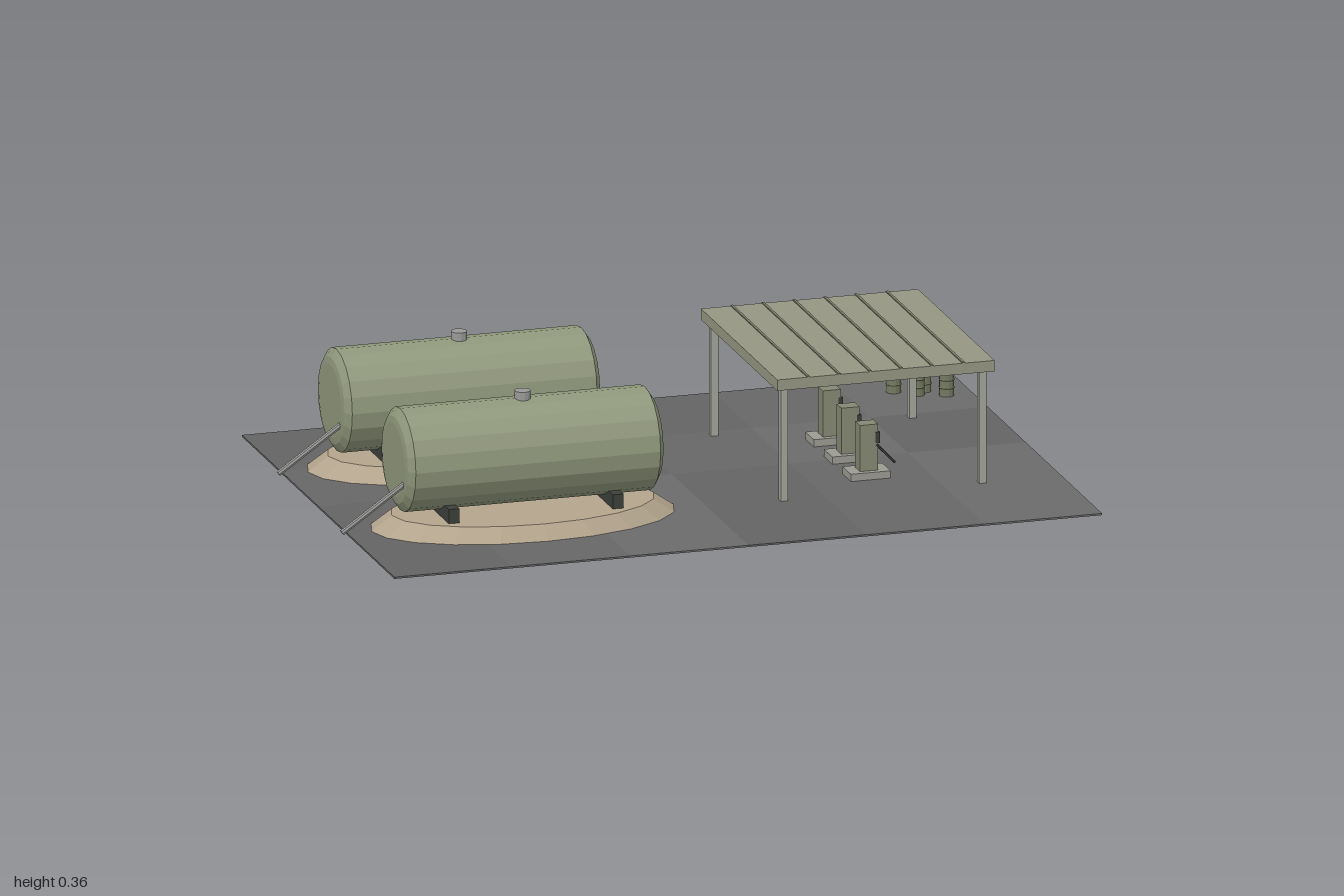
import * as THREE from 'three';

const mat = (color, flatShading = true) => new THREE.MeshStandardMaterial({ color, flatShading });
const M = {
  tile: [mat(0x646464), mat(0x6b6b6b), mat(0x676767)],
  tank: mat(0x8f977b), sand: mat(0xb3a48c), dark: mat(0x3c3f3a), steel: mat(0x999a97),
  roof: mat(0x959682), rib: mat(0x7b7d6a), post: mat(0xa3a59a), pump: mat(0x858872),
  base: mat(0x9b9b92), screen: mat(0x4d5a66), barrel: mat(0x747a62),
};

function add(parent, name, geometry, material, x = 0, y = 0, z = 0) {
  const mesh = new THREE.Mesh(geometry, material);
  mesh.name = name;
  mesh.position.set(x, y, z);
  parent.add(mesh);
  return mesh;
}

// Box given by its size and the height of its underside
function box(parent, name, material, w, h, d, x, y0, z) {
  return add(parent, name, new THREE.BoxGeometry(w, h, d), material, x, y0 + h / 2, z);
}

// Straight round bar between two points
function rod(parent, name, material, a, b, r, sides = 8) {
  const p = new THREE.Vector3(...a), q = new THREE.Vector3(...b);
  const dir = q.clone().sub(p);
  const mesh = add(parent, name, new THREE.CylinderGeometry(r, r, dir.length(), sides), material);
  mesh.position.copy(p).add(q).multiplyScalar(0.5);
  mesh.quaternion.setFromUnitVectors(new THREE.Vector3(0, 1, 0), dir.normalize());
  return mesh;
}

function lathe(points, sides) {
  return new THREE.LatheGeometry(points.map(([r, y]) => new THREE.Vector2(r, y)), sides);
}

function group(parent, name, x = 0, z = 0) {
  const g = new THREE.Group();
  g.name = name;
  g.position.set(x, 0, z);
  parent.add(g);
  return g;
}

// Storage tank lying on its oval earth mound
function buildTank(parent, z) {
  const g = group(parent, 'storageTank', -0.472, z);
  const mound = add(g, 'mound', new THREE.CylinderGeometry(0.86, 1, 0.041, 20), M.sand, 0, 0.0235, 0);
  mound.scale.set(0.42, 1, 0.225);
  mound.geometry.rotateY(Math.PI / 2);

  const shell = lathe([[0, -0.356], [0.1, -0.356], [0.118, -0.353], [0.14, -0.338],
    [0.14, 0.338], [0.118, 0.353], [0.1, 0.356], [0, 0.356]], 20);
  shell.rotateZ(-Math.PI / 2);
  add(g, 'tankShell', shell, M.tank, 0, 0.197, 0);

  add(g, 'hatch', new THREE.CylinderGeometry(0.022, 0.022, 0.028, 12), M.steel, 0, 0.343, 0);
  for (const x of [-0.225, 0.228]) box(g, 'saddle', M.dark, 0.03, 0.045, 0.235, x, 0.038, 0);
  rod(g, 'fillPipe', M.steel, [-0.32, 0.175, 0.081], [-0.524, 0.034, 0.081], 0.008);
}

// Fuel pump on its plinth, facing +x
function buildPump(parent, z) {
  const g = group(parent, 'fuelPump', 0.508, z);
  box(g, 'plinth', M.base, 0.11, 0.02, 0.075, 0, 0.005, 0);
  box(g, 'pumpBody', M.pump, 0.05, 0.127, 0.042, 0, 0.025, 0);
  box(g, 'pumpScreen', M.screen, 0.004, 0.034, 0.026, 0.025, 0.095, 0);
  box(g, 'nozzleHolder', M.dark, 0.012, 0.03, 0.01, 0.024, 0.1, 0.018);
  rod(g, 'hose', M.dark, [0.022, 0.095, 0.019], [0.067, 0.047, 0.037], 0.0035, 6);
}

// Flat ribbed roof on four posts
function buildCanopy(parent) {
  const g = group(parent, 'canopy', 0.507, 0);
  box(g, 'roof', M.roof, 0.6, 0.03, 0.68, 0, 0.317, 0);
  for (let i = 1; i < 7; i++) {
    box(g, 'roofRib', M.rib, 0.007, 0.004, 0.68, -0.3 + i * 0.6 / 7, 0.346, 0);
  }
  for (const x of [-0.274, 0.274]) for (const z of [-0.31, 0.31]) {
    box(g, 'post', M.post, 0.02, 0.313, 0.02, x, 0.005, z);
  }
}

export function createModel() {
  const model = new THREE.Group();
  model.name = 'fuelDepot';

  // Paved ground, six by four slabs
  const ground = group(model, 'ground');
  const w = 1.955 / 6, d = 1.355 / 4;
  for (let i = 0; i < 6; i++) for (let j = 0; j < 4; j++) {
    const shade = M.tile[(i * 2 + j * (j + 1)) % 3];
    box(ground, 'slab', shade, w, 0.005, d, -0.955 + (i + 0.5) * w, 0, -0.68 + (j + 0.5) * d);
  }

  for (const z of [-0.305, 0.26]) buildTank(model, z);
  buildCanopy(model);
  for (const z of [-0.165, 0, 0.165]) buildPump(model, z);

  // Loose cluster of barrels with raised hoops
  const barrel = lathe([[0, 0], [0.02, 0], [0.02, 0.02], [0.0215, 0.0225], [0.02, 0.025],
    [0.02, 0.042], [0.0215, 0.0445], [0.02, 0.047], [0.02, 0.066], [0, 0.066]], 12);
  const spots = [[0.803, -0.545], [0.888, -0.59], [0.882, -0.53], [0.855, -0.502], [0.928, -0.475]];
  for (const [x, z] of spots) add(model, 'barrel', barrel, M.barrel, x, 0.005, z);

  return model;
}
